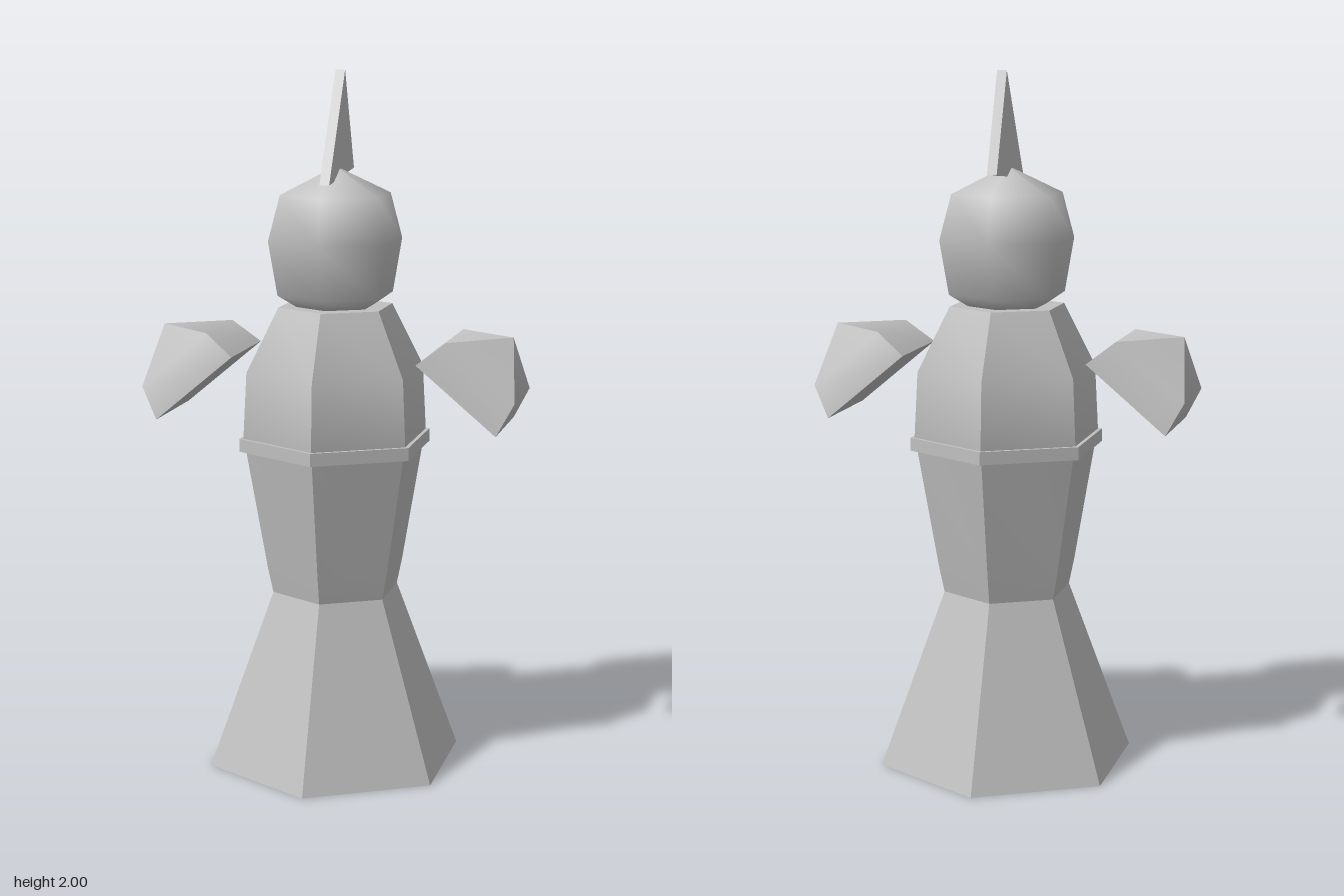
import * as THREE from 'three';
import { toCreasedNormals } from 'three/addons/utils/BufferGeometryUtils.js';

const stone = new THREE.MeshStandardMaterial({ color: 0xc0c0c0, side: THREE.DoubleSide });
stone.name = 'grey stone';

// Few-sided turned solid from [radius, height] pairs, listed bottom to top
function turned(profile, sides) {
  return new THREE.LatheGeometry(profile.map(([r, y]) => new THREE.Vector2(r, y)), sides);
}

// Soft along the profile, sharp along the vertical corners
const creased = (geometry) => toCreasedNormals(geometry, THREE.MathUtils.degToRad(45));

export function createModel() {
  const model = new THREE.Group();
  model.name = 'figurePiece';
  const add = (name, geometry) => {
    const mesh = new THREE.Mesh(geometry, stone);
    mesh.name = name;
    model.add(mesh);
    return mesh;
  };

  // Flared skirt, open underneath
  add('skirt', creased(turned([[0.377, 0], [0.187, 0.51]], 6)));

  // Torso, closed at the shoulders
  add('torso', creased(turned([
    [0.187, 0.51], [0.203, 0.585], [0.264, 0.93], [0.272, 0.97],
    [0.262, 1.157], [0.168, 1.34], [0, 1.34],
  ], 6)));

  // Belt band
  add('belt', creased(turned([[0.25, 0.931], [0.284, 0.931], [0.284, 0.968], [0.25, 0.968]], 6)));

  // Rounded head, smooth all over
  add('head', turned([
    [0, 1.34], [0.115, 1.34], [0.17, 1.374], [0.197, 1.528], [0.162, 1.657], [0, 1.735],
  ], 6));

  // Thin triangular crest in the middle plane
  const outline = new THREE.Shape([
    new THREE.Vector2(-0.126, 1.691),
    new THREE.Vector2(0.157, 1.718),
    new THREE.Vector2(0.053, 2.0),
  ]);
  const crest = new THREE.ExtrudeGeometry(outline, { depth: 0.028, bevelEnabled: false });
  crest.translate(0, 0, -0.014);
  crest.rotateY(Math.PI / 2);
  add('crest', crest);

  // Four-sided domed shoulder guards, tilted outwards
  const guard = creased(turned([[0, 0], [0.209, 0], [0.179, 0.1], [0, 0.209]], 4).rotateY(Math.PI / 4));
  for (const side of [1, -1]) {
    const mesh = add(side > 0 ? 'leftShoulderGuard' : 'rightShoulderGuard', guard);
    mesh.position.set(side * 0.379, 1.108, 0);
    mesh.rotation.z = -side * 0.697;
  }

  return model;
}
